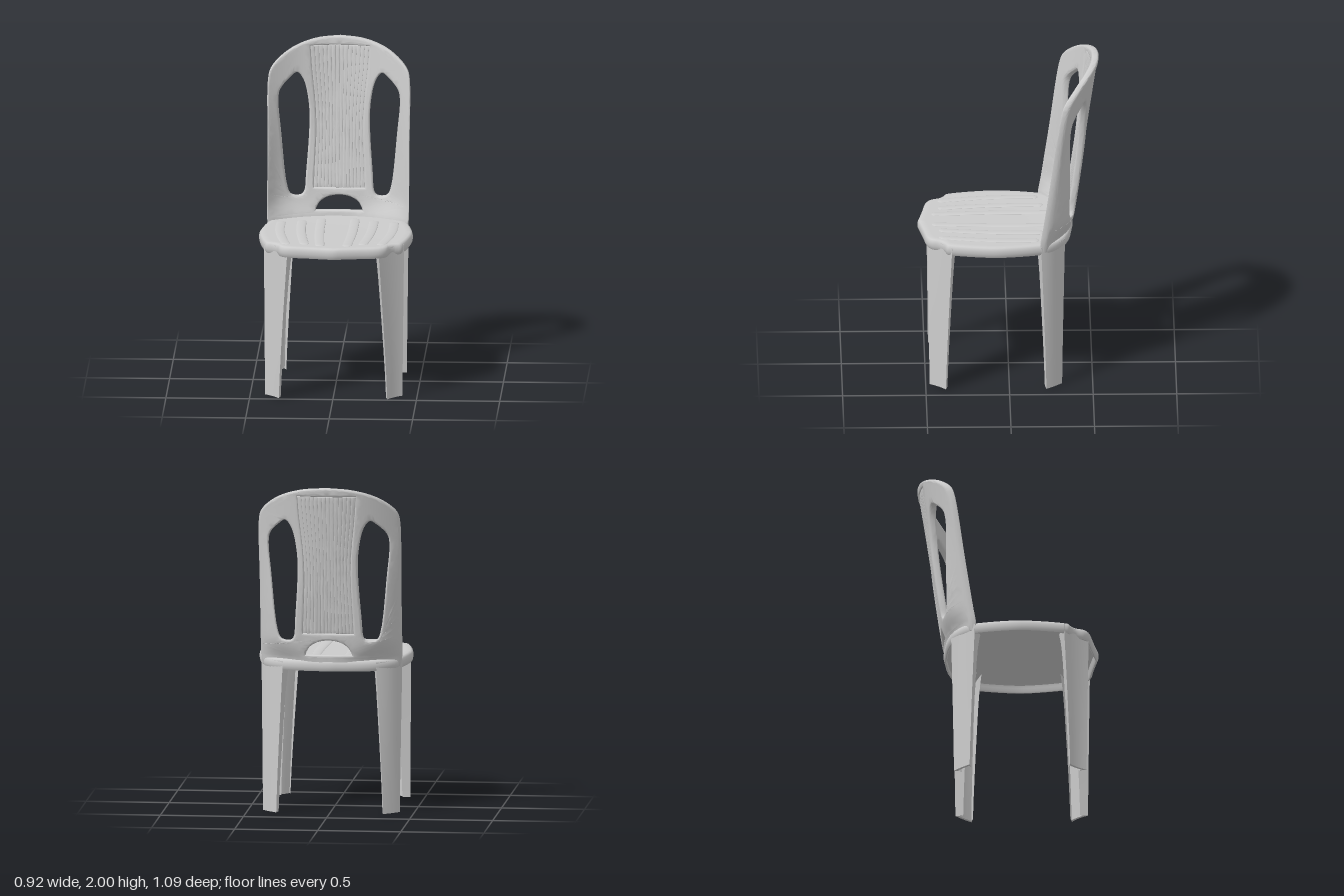
import * as THREE from 'three';
import { toCreasedNormals } from 'three/addons/utils/BufferGeometryUtils.js';

const material = new THREE.MeshStandardMaterial({ color: 0xcccccc });
const V2 = (x, y) => new THREE.Vector2(x, y);

// Smooth 2D curve through a few [x, y] points
function smooth(pts, n, closed = false) {
  const c = new THREE.CatmullRomCurve3(pts.map(([x, y]) => new THREE.Vector3(x, y, 0)), closed);
  const out = c.getPoints(n).map(p => V2(p.x, p.y));
  if (closed) out.pop();
  return out;
}
const flip = pts => pts.map(p => V2(-p.x, p.y)).reverse();

// Joins a right-hand half outline (centre to centre) with its mirror image
const mirrored = half => [...half, ...flip(half).slice(1, -1)];

// Halves the longest edges until the sheet is fine enough to bend
function subdivide(geo, max) {
  const src = geo.index ? geo.toNonIndexed() : geo;
  const p = src.attributes.position, out = [];
  const split = (a, b, c) => {
    const ab = a.distanceTo(b), bc = b.distanceTo(c), ca = c.distanceTo(a);
    const m = Math.max(ab, bc, ca);
    if (m <= max) { out.push(...a.toArray(), ...b.toArray(), ...c.toArray()); return; }
    if (m === bc) [a, b, c] = [b, c, a];
    else if (m === ca) [a, b, c] = [c, a, b];
    const mid = a.clone().add(b).multiplyScalar(0.5);
    split(a, mid, c);
    split(mid, b, c);
  };
  const v = i => new THREE.Vector3().fromBufferAttribute(p, i);
  for (let i = 0; i < p.count; i += 3) split(v(i), v(i + 1), v(i + 2));
  const g = new THREE.BufferGeometry();
  g.setAttribute('position', new THREE.Float32BufferAttribute(out, 3));
  return g;
}

// Moves every vertex by a rule
function deform(geo, rule) {
  const p = geo.attributes.position, v = new THREE.Vector3();
  for (let i = 0; i < p.count; i++) {
    rule(v.fromBufferAttribute(p, i));
    p.setXYZ(i, v.x, v.y, v.z);
  }
  return geo;
}

// Backrest surface: leans back with height and wraps forward at the sides,
// flattest just above the seat
function backZ(x, y) {
  const { smoothstep } = THREE.MathUtils;
  const flat = smoothstep(y, 0.92, 1.07) * (1 - smoothstep(y, 1.05, 1.75));
  return -0.36 - 0.153 * (y - 0.95)
    + 0.16 * Math.pow(Math.abs(x) / 0.425, 2.1 + 2.4 * flat);
}

// Rounded sheet of the given thickness, bent to the backrest surface
function backSheet(outline, holes, thickness, bevel) {
  const shape = new THREE.Shape(outline);
  holes.forEach(h => shape.holes.push(new THREE.Path(h)));
  const flatSheet = new THREE.ExtrudeGeometry(shape, {
    depth: thickness - 2 * bevel, bevelEnabled: true, bevelThickness: bevel,
    bevelSize: bevel, bevelOffset: -bevel, bevelSegments: 4,
  }).translate(0, 0, bevel - thickness / 2);
  const g = subdivide(flatSheet, 0.04);
  deform(g, v => { v.z += backZ(v.x, v.y); });
  return toCreasedNormals(g, 0.8);
}

// Skin over horizontal rings of [x, z] points, capped at both ends
function loft(rings, ys) {
  const rows = rings.map(r => (THREE.ShapeUtils.isClockWise(r) ? r.slice().reverse() : r));
  const n = rows[0].length, pos = [], idx = [];
  rows.forEach((r, j) => r.forEach(p => pos.push(p.x, ys[j], p.y)));
  for (let j = 0; j < rows.length - 1; j++) {
    for (let i = 0; i < n; i++) {
      const a = j * n + i, b = j * n + (i + 1) % n;
      idx.push(a, a + n, b, b, a + n, b + n);
    }
  }
  const last = (rows.length - 1) * n;
  THREE.ShapeUtils.triangulateShape(rows[0], []).forEach(([a, b, c]) => idx.push(a, b, c));
  THREE.ShapeUtils.triangulateShape(rows[rows.length - 1], [])
    .forEach(([a, b, c]) => idx.push(last + a, last + c, last + b));
  const g = new THREE.BufferGeometry();
  g.setAttribute('position', new THREE.Float32BufferAttribute(pos, 3));
  g.setIndex(idx);
  return toCreasedNormals(g, 0.8);
}

// Leg: wide diagonal face with two inward flanges, swept from foot to seat
function leg(foot, top, side, sz) {
  const ys = [0, 0.15, 0.3, 0.45, 0.6, 0.72, 0.8, 0.84, 0.87, 0.92];
  const inward = V2(-0.7, -0.7 * sz);
  const flangeA = V2(-0.98, -0.2 * sz), flangeB = V2(-0.2, -0.98 * sz);
  return loft(ys.map(y => {
    const t = Math.pow(y / 0.92, 1.2);
    const [A, C, B] = foot.map(([x, z], i) => V2(x, z).lerp(V2(...top[i]), t));
    const outer = new THREE.QuadraticBezierCurve(A, C, B).getPoints(8);
    const flare = 0.05 * Math.pow(Math.max(0, (y - 0.72) / 0.2), 2);
    const depth = 0.048 + 0.055 * t + flare;
    const inner = outer.slice(1, -1).reverse().map(p => p.clone().addScaledVector(inward, 0.016));
    const ring = [...outer, B.clone().addScaledVector(flangeB, depth), ...inner,
      A.clone().addScaledVector(flangeA, depth)];
    ring.forEach(p => { p.x *= side; });
    return ring;
  }), ys);
}

export function createModel() {
  const model = new THREE.Group();
  const add = (name, geo, parent = model) => {
    const m = new THREE.Mesh(geo, material);
    m.name = name;
    parent.add(m);
  };
  const group = name => {
    const g = new THREE.Group();
    g.name = name;
    model.add(g);
    return g;
  };

  // Seat: hollow shell with a rounded rim, notched at the front legs
  const seatOutline = mirrored(smooth([
    [0, -0.385], [0.2, -0.36], [0.31, -0.32], [0.4, -0.24], [0.427, -0.16], [0.455, 0],
    [0.46, 0.09], [0.437, 0.26], [0.415, 0.35], [0.405, 0.372], [0.365, 0.393], [0.34, 0.418],
    [0.318, 0.465], [0.28, 0.493], [0.15, 0.517], [0, 0.545],
  ], 70));
  const seat = group('seat');
  // [scale, height] from the underside, round the rim, to the top
  const profile = [[0.3, 0.916], [0.9, 0.916], [0.94, 0.91], [0.95, 0.895], [0.955, 0.875],
    [0.965, 0.866], [0.98, 0.867], [0.993, 0.877], [1, 0.893], [1, 0.908], [0.993, 0.922],
    [0.98, 0.93], [0.96, 0.934], [0.9, 0.933], [0.3, 0.932]];
  add('seatShell', loft(
    profile.map(([s]) => seatOutline.map(p => V2(p.x * s, 0.08 + (p.y - 0.08) * s))),
    profile.map(([, y]) => y)), seat);

  // Raised seat ribs: flattened capsules bowed outwards
  const ribs = [[0.1, -0.26, 0.08, 0.46, 0.008], [0.215, -0.21, 0.172, 0.42, 0.014],
    [0.338, -0.18, 0.282, 0.42, 0.022]];
  for (const side of [1, -1]) {
    for (const [xb, zb, xf, zf, bow] of ribs) {
      const r = 0.029, len = zf - zb;
      const g = new THREE.CapsuleGeometry(r, len - 2 * r, 6, 16, 14).rotateX(Math.PI / 2);
      deform(g, v => {
        const t = v.z / len + 0.5;
        v.x = side * (xb + (xf - xb) * t + bow * Math.sin(Math.PI * t)) + v.x;
        v.y = 0.932 + v.y * 0.2;
        v.z += (zb + zf) / 2;
      });
      g.computeVertexNormals();
      add('seatRib', g, seat);
    }
  }

  // Backrest frame: side openings, lower arch and slatted panel opening
  const back = group('backrest');
  const frame = mirrored([V2(0, 0.88), V2(0.415, 0.88), ...smooth([
    [0.425, 0.95], [0.425, 1.4], [0.425, 1.77], [0.412, 1.83], [0.37, 1.882],
    [0.28, 1.943], [0.15, 1.985], [0, 2],
  ], 50)]);
  const sideHole = smooth([
    [0.255, 1.793], [0.216, 1.745], [0.186, 1.61], [0.181, 1.475], [0.2, 1.18], [0.209, 1.08],
    [0.227, 1.057], [0.283, 1.06], [0.306, 1.095], [0.348, 1.45], [0.364, 1.65],
    [0.352, 1.705], [0.295, 1.768],
  ], 60, true);
  const arch = [V2(-0.14, 0.965), V2(0.14, 0.965),
    ...smooth([[0.137, 0.98], [0.115, 1.015], [0.07, 1.044], [0, 1.056],
      [-0.07, 1.044], [-0.115, 1.015], [-0.137, 0.98]], 24)];
  const panelEdge = smooth([[0.152, 1.1], [0.146, 1.25], [0.138, 1.45], [0.146, 1.62],
    [0.165, 1.8], [0.176, 1.945]], 14);
  const panel = [...panelEdge, ...flip(panelEdge)];
  add('backFrame', backSheet(frame, [sideHole, flip(sideHole), arch, panel], 0.044, 0.013), back);
  add('backPanel', backSheet(panel.map(p => V2(p.x * 1.05, p.y)), [], 0.026, 0.002), back);

  // Vertical slats that follow the waisted panel
  const count = 14;
  for (let i = 0; i < count; i++) {
    const u = k => (2 * (i + k)) / count - 1;
    const right = panelEdge.map(p => V2(p.x * u(0.94), p.y));
    const left = panelEdge.map(p => V2(p.x * u(0.06), p.y)).reverse();
    add('backSlat', backSheet([...right, ...left], [], 0.033, 0.002), back);
  }

  // Legs
  for (const side of [1, -1]) {
    const label = side > 0 ? 'left' : 'right';
    add(label + 'FrontLeg', leg([[0.412, 0.38], [0.362, 0.415], [0.325, 0.477]],
      [[0.42, 0.342], [0.342, 0.402], [0.272, 0.489]], side, 1));
    add(label + 'BackLeg', leg([[0.412, -0.222], [0.374, -0.27], [0.322, -0.317]],
      [[0.424, -0.19], [0.385, -0.28], [0.28, -0.335]], side, -1));
  }
  return model;
}
